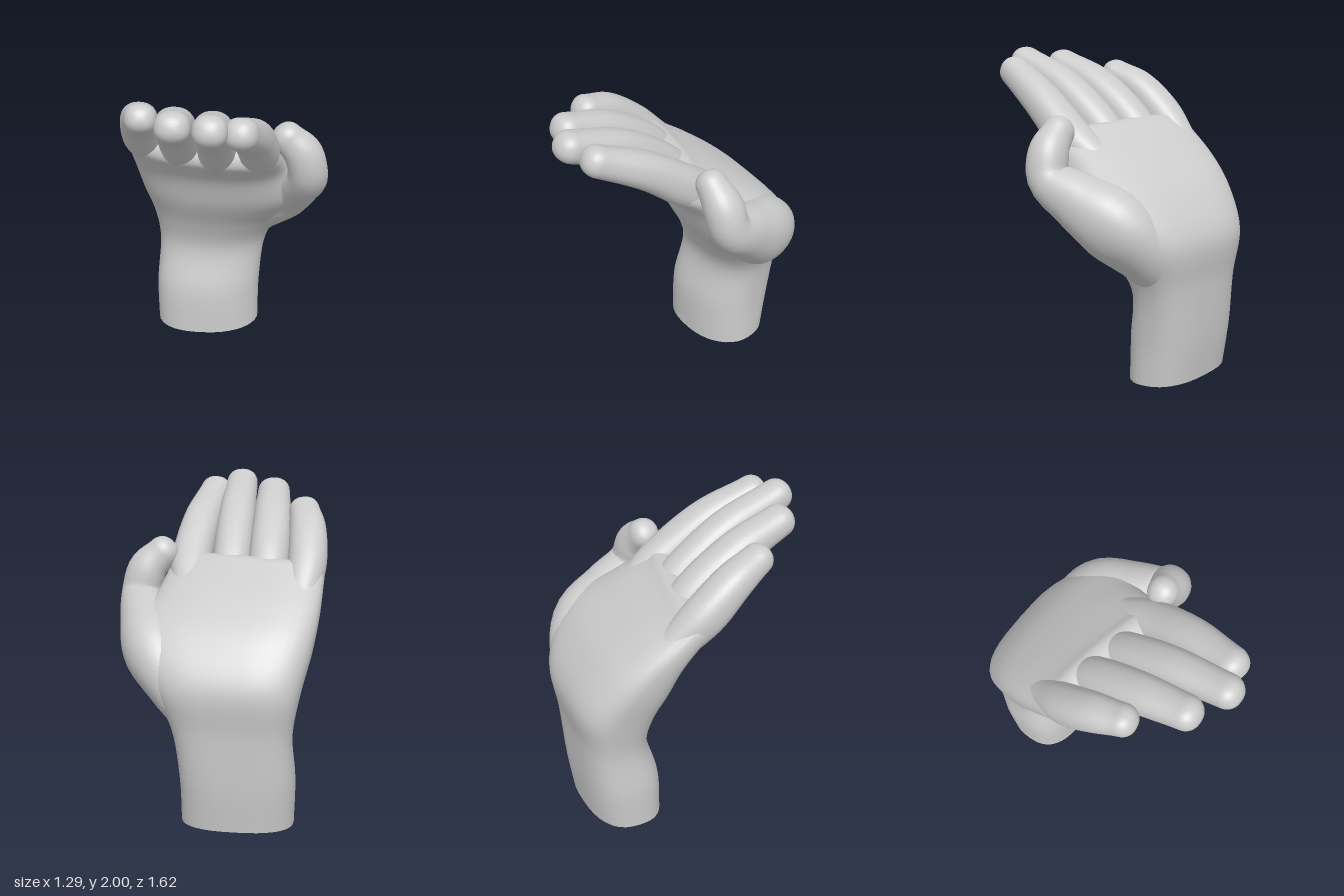
import * as THREE from 'three';

const material = new THREE.MeshStandardMaterial({ color: 0xcccccc });
const SIDES = 40;
const V3 = (x, y, z) => new THREE.Vector3(x, y, z);

// Skins a list of rings (arrays of Vector3, counter-clockwise about the path)
function skin(name, rings) {
  const positions = rings.flat().flatMap((p) => [p.x, p.y, p.z]);
  const index = [];
  for (let r = 0; r < rings.length - 1; r++) {
    for (let i = 0; i < SIDES; i++) {
      const a = r * SIDES + i, b = r * SIDES + (i + 1) % SIDES;
      index.push(a, b, a + SIDES, b, b + SIDES, a + SIDES);
    }
  }
  const geometry = new THREE.BufferGeometry();
  geometry.setAttribute('position', new THREE.Float32BufferAttribute(positions, 3));
  geometry.setIndex(index);
  geometry.computeVertexNormals();
  const mesh = new THREE.Mesh(geometry, material);
  mesh.name = name;
  return mesh;
}

// Superellipse ring with one power per quarter; 1 is an ellipse, lower is boxier
function ring(center, u, v, powers) {
  const bend = (c, power) => Math.sign(c) * Math.abs(c) ** power;
  return Array.from({ length: SIDES }, (_, i) => {
    const a = (i / SIDES) * Math.PI * 2;
    const power = powers[Math.floor((i / SIDES) * 4)];
    return center.clone().addScaledVector(u, bend(Math.cos(a), power)).addScaledVector(v, bend(Math.sin(a), power));
  });
}

// Tapered limb through points [x, y, z, half width, half depth] with a blunt domed tip
function limb(name, points, power) {
  const path = new THREE.CatmullRomCurve3(points.map((p) => V3(p[0], p[1], p[2])));
  const sizes = new THREE.SplineCurve(points.map((p) => new THREE.Vector2(p[3], p[4])));
  const rings = [];
  const add = (t, dome) => {
    const tangent = path.getTangent(t), size = sizes.getPoint(t);
    const u = V3(1, 0, 0).addScaledVector(tangent, -tangent.x).normalize();
    const v = tangent.clone().cross(u);
    const k = Math.max(Math.cos(dome), 0.0001) ** 0.85;
    const center = path.getPoint(t).addScaledVector(tangent, size.y * Math.sin(dome));
    rings.push(ring(center, u.multiplyScalar(k * size.x), v.multiplyScalar(k * size.y), Array(4).fill(power)));
  };
  for (let i = 0; i <= 28; i++) add(i / 28, 0);
  for (let i = 1; i <= 10; i++) add(1, (i / 10) * Math.PI / 2);
  return skin(name, rings);
}

// Forearm stump, wrist and palm in one loft
function palmRings() {
  // [palm-side y, z, back-side y, z, x min, x max, roll]
  const sections = [
    [0.0, -0.26, 0.05, -0.74, -0.5, 0.2, 0],
    [0.3, -0.27, 0.33, -0.77, -0.505, 0.205, 0],
    [0.62, -0.33, 0.68, -0.785, -0.485, 0.25, -0.03],
    [0.82, -0.26, 0.985, -0.8, -0.525, 0.38, -0.06],
    [1.05, -0.12, 1.24, -0.635, -0.585, 0.53, -0.12],
    [1.26, -0.04, 1.42, -0.42, -0.62, 0.4, -0.17],
    [1.41, 0.08, 1.585, -0.155, -0.637, 0.335, -0.19],
  ];
  const front = new THREE.CatmullRomCurve3(sections.map((s) => V3(s[4], s[0], s[1])));
  const back = new THREE.CatmullRomCurve3(sections.map((s) => V3(s[5], s[2], s[3])));
  const rolls = new THREE.SplineCurve(sections.map((s, i) => new THREE.Vector2(i, s[6])));
  const rings = [];
  const add = (t, dome) => {
    const f = front.getPoint(t), b = back.getPoint(t);
    const center = f.clone().add(b).multiplyScalar(0.5);
    const half = (b.x - f.x) / 2;
    const v = V3(0, b.y - f.y, b.z - f.z).multiplyScalar(0.5);
    const normal = v.clone().normalize();
    const along = V3(1, 0, 0).cross(normal);
    const roll = rolls.getPoint(t).y;
    const k = Math.max(Math.cos(dome), 0.001);
    // the little-finger side lies further back and ends earlier
    const u = V3(1, 0, 0).addScaledVector(normal, roll).addScaledVector(along, -roll * 0.7)
      .multiplyScalar(half * (0.85 + 0.15 * k));
    center.addScaledVector(along, 0.09 * Math.sin(dome));
    // squarer across the back of the hand, softer at the thumb side of the palm
    const backPower = 0.78 - 0.14 * Math.sin(Math.PI * t);
    rings.push(ring(center, u, v.multiplyScalar(k), [backPower, backPower, 0.78, 0.98 - 0.2 * t]));
  };
  for (let i = 0; i <= 48; i++) add(i / 48, 0);
  for (let i = 1; i <= 6; i++) add(1, (i / 6) * Math.PI / 2);
  return rings;
}

export function createModel() {
  const hand = new THREE.Group();
  hand.name = 'hand';

  const rings = palmRings();
  hand.add(skin('wristAndPalm', rings));

  // Flat cut end of the wrist
  const rim = rings[0];
  const middle = rim.reduce((sum, p) => sum.add(p), V3(0, 0, 0)).divideScalar(SIDES);
  hand.add(skin('wristEnd', [rim.map(() => middle.clone()), rim.map((p) => p.clone())]));

  // Fingers, rooted inside the palm
  const fingers = {
    littleFinger: [
      [-0.5, 1.4, -0.25, 0.1, 0.115], [-0.527, 1.575, -0.06, 0.12, 0.13],
      [-0.517, 1.735, 0.13, 0.115, 0.112], [-0.487, 1.815, 0.3, 0.097, 0.09]],
    ringFinger: [
      [-0.28, 1.38, -0.18, 0.11, 0.12], [-0.285, 1.57, 0.025, 0.126, 0.14],
      [-0.283, 1.765, 0.3, 0.121, 0.12], [-0.27, 1.875, 0.58, 0.105, 0.095]],
    middleFinger: [
      [-0.05, 1.35, -0.14, 0.11, 0.12], [-0.05, 1.54, 0.06, 0.122, 0.14],
      [-0.05, 1.765, 0.36, 0.117, 0.12], [-0.048, 1.905, 0.705, 0.102, 0.095]],
    indexFinger: [
      [0.19, 1.37, -0.18, 0.1, 0.11], [0.212, 1.505, 0.04, 0.125, 0.13],
      [0.18, 1.72, 0.34, 0.12, 0.115], [0.122, 1.865, 0.635, 0.1, 0.095]],
  };
  for (const [name, points] of Object.entries(fingers)) hand.add(limb(name, points, 0.88));

  // Thumb with the fleshy mound at its base
  hand.add(limb('thumb', [
    [0.1, 0.62, -0.55, 0.08, 0.1], [0.23, 0.88, -0.53, 0.15, 0.2], [0.36, 1.08, -0.42, 0.2, 0.23],
    [0.45, 1.215, -0.22, 0.17, 0.18], [0.515, 1.34, -0.03, 0.128, 0.13],
    [0.48, 1.49, 0.0, 0.122, 0.122], [0.385, 1.595, 0.01, 0.1, 0.095],
  ], 0.95));
  return hand;
}
